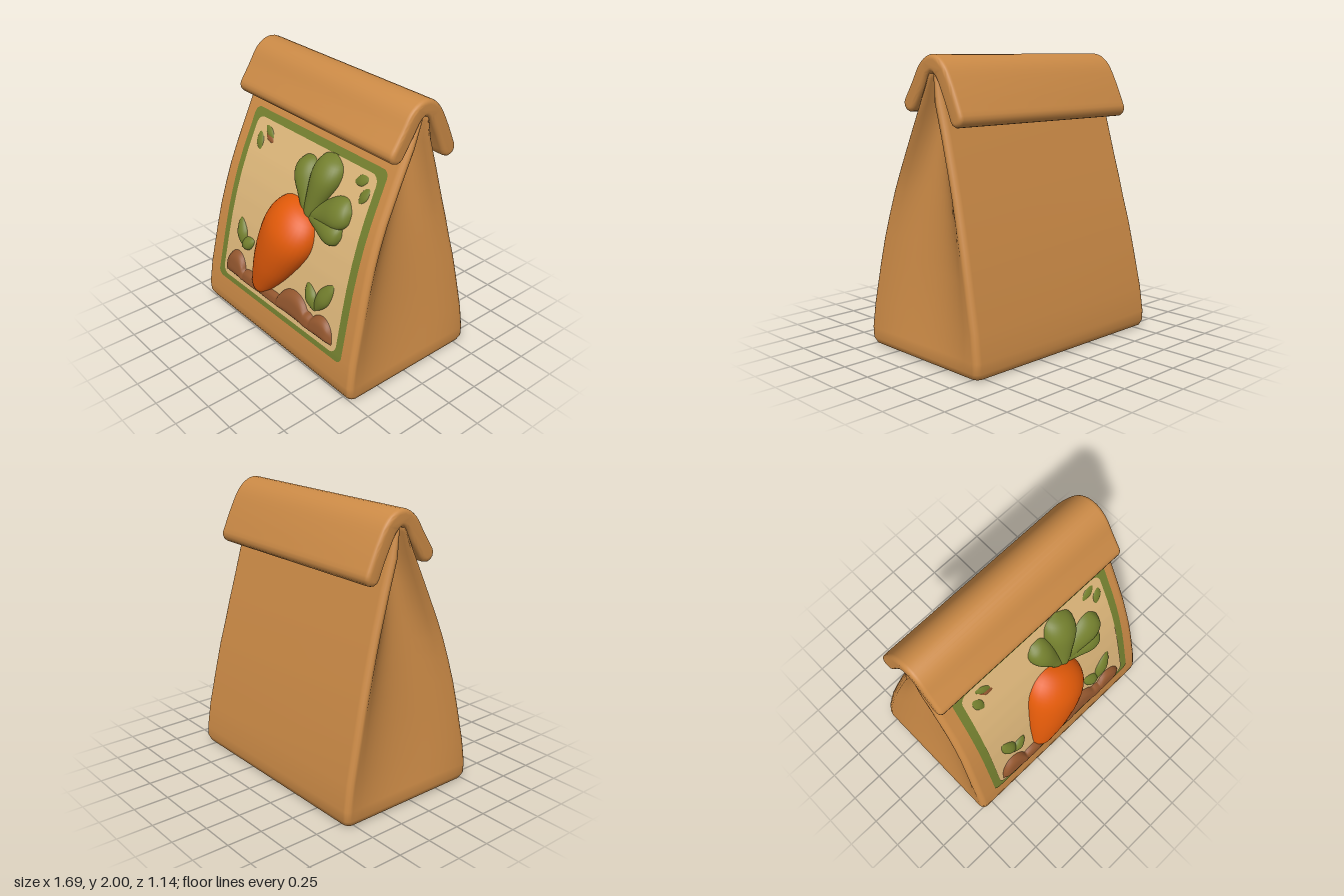
import * as THREE from 'three';
import { toCreasedNormals } from 'three/addons/utils/BufferGeometryUtils.js';

const material = (name, color) => {
  const m = new THREE.MeshStandardMaterial({ color });
  m.name = name;
  return m;
};

// Bag levels: [y, half width, front z, back z, gusset depth]
const LEVELS = [
  [0, 0.8, 0.47, -0.53, 0], [0.012, 0.828, 0.5, -0.56, 0], [0.05, 0.845, 0.52, -0.575, 0],
  [0.12, 0.845, 0.525, -0.575, 0.01], [0.3, 0.84, 0.5, -0.55, 0.05], [0.6, 0.83, 0.435, -0.485, 0.085],
  [0.78, 0.822, 0.393, -0.445, 0.1], [0.95, 0.812, 0.345, -0.4, 0.11], [1.1, 0.806, 0.295, -0.362, 0.12],
  [1.25, 0.8, 0.235, -0.32, 0.13], [1.5, 0.795, 0.12, -0.25, 0.145],
  [1.7, 0.792, 0.025, -0.19, 0.14], [1.85, 0.785, -0.05, -0.155, 0.09], [1.91, 0.78, -0.085, -0.135, 0.04],
];

// Front surface z at a given height
function frontZ(y) {
  let i = 1;
  while (i < LEVELS.length - 1 && LEVELS[i][0] < y) i++;
  const a = LEVELS[i - 1], b = LEVELS[i];
  return THREE.MathUtils.mapLinear(y, a[0], b[0], a[2], b[2]);
}

// Move each vertex by a rule
function reshape(geo, rule) {
  const p = geo.attributes.position;
  for (let i = 0; i < p.count; i++) p.setXYZ(i, ...rule(p.getX(i), p.getY(i), p.getZ(i)));
  geo.computeVertexNormals();
  return geo;
}

// Bag body: stacked rounded rings with folded-in sides
function bagGeometry() {
  const pos = [], idx = [];
  let n = 0;
  for (const [y, hw, zf, zb, depth] of LEVELS) {
    const r = Math.min(0.045, (zf - zb) / 4), side = [];
    for (let i = 0; i <= 4; i++) {
      const a = (i / 4) * Math.PI / 2;
      side.push([hw - r + r * Math.sin(a), zf - r + r * Math.cos(a)]);
    }
    for (let i = 1; i < 14; i++) {
      const s = i / 7 - 1;
      side.push([hw - depth * (1 - Math.abs(s) ** 2.2), THREE.MathUtils.lerp(zf - r, zb + r, i / 14)]);
    }
    for (let i = 0; i <= 4; i++) {
      const a = (i / 4) * Math.PI / 2;
      side.push([hw - r + r * Math.cos(a), zb + r - r * Math.sin(a)]);
    }
    const ring = [...side, ...side.map(([x, z]) => [-x, z]).reverse()];
    n = ring.length;
    ring.forEach(([x, z]) => pos.push(x, y, z));
  }
  const rows = LEVELS.length, top = LEVELS[rows - 1];
  pos.push(0, 0, -0.03, 0, top[0], (top[2] + top[3]) / 2);
  for (let i = 0; i < n; i++) {
    const j = (i + 1) % n;
    for (let k = 0; k < rows - 1; k++) {
      const a = k * n + i, b = k * n + j;
      idx.push(a, b, b + n, a, b + n, a + n);
    }
    idx.push(rows * n, j, i, rows * n + 1, (rows - 1) * n + i, (rows - 1) * n + j);
  }
  const geo = new THREE.BufferGeometry();
  geo.setAttribute('position', new THREE.Float32BufferAttribute(pos, 3));
  geo.setIndex(idx);
  geo.computeVertexNormals();
  return geo;
}

// Folded-over top: a thick bent strip extruded across the width
function foldGeometry() {
  const line = new THREE.SplineCurve([
    [0.115, 1.69], [0.04, 1.8], [-0.03, 1.905], [-0.11, 1.943], [-0.19, 1.895], [-0.265, 1.765], [-0.335, 1.61],
  ].map(([z, y]) => new THREE.Vector2(-z, y)));
  const bevel = 0.03, r = 0.057 - bevel, steps = 28, left = [], right = [];
  for (let i = 0; i <= steps; i++) {
    const p = line.getPoint(i / steps), t = line.getTangent(i / steps);
    const nrm = new THREE.Vector2(-t.y, t.x).multiplyScalar(r);
    left.push(p.clone().add(nrm));
    right.push(p.clone().sub(nrm));
  }
  // Rounded end between two sides of the strip
  const cap = (u, sign) => [1, 2, 3, 4, 5].map((k) => {
    const p = line.getPoint(u), t = line.getTangent(u).multiplyScalar(sign), a = (k / 6) * Math.PI;
    return new THREE.Vector2(
      p.x + r * (Math.cos(a) * -t.y + Math.sin(a) * t.x),
      p.y + r * (Math.cos(a) * t.x + Math.sin(a) * t.y));
  });
  const shape = new THREE.Shape([...left, ...cap(1, 1), ...right.reverse(), ...cap(0, -1)]);
  const depth = 1.595 - 2 * bevel;
  const geo = new THREE.ExtrudeGeometry(shape, {
    depth, bevelEnabled: true, bevelSize: bevel, bevelThickness: bevel, bevelSegments: 5,
  });
  geo.translate(0, 0, -depth / 2).rotateY(Math.PI / 2);
  return toCreasedNormals(geo, 0.9);
}

// Thin rounded panel lying on the bag front
function panelGeometry(cx, y0, y1, wBottom, wTop, r, lift) {
  return reshape(new THREE.PlaneGeometry(2, 2, 8, 60), (u, v) => {
    const s = Math.sin(v * Math.PI / 2);
    const y = THREE.MathUtils.mapLinear(s, -1, 1, y0, y1);
    const edge = Math.max(0, r - Math.min(y - y0, y1 - y));
    const hw = THREE.MathUtils.mapLinear(y, y0, y1, wBottom, wTop) - r + Math.sqrt(Math.max(0, r * r - edge * edge));
    return [cx + u * hw, y, frontZ(y) + lift];
  });
}

// Raised turned form lying on the bag front from one point to another
const PROFILES = {
  root: [[0, 0], [0.28, 0.015], [0.5, 0.15], [0.79, 0.4], [1, 0.7], [0.88, 0.87], [0.52, 0.97], [0, 1]],
  lobe: [[0, 0], [0.36, 0.1], [0.7, 0.4], [1, 0.72], [0.75, 0.92], [0, 1]],
  blade: [[0, 0], [0.6, 0.2], [1, 0.5], [0.65, 0.8], [0, 1]],
};
function reliefGeometry(profile, [x0, y0], [x1, y1], width, depth) {
  const pts = new THREE.SplineCurve(PROFILES[profile].map((p) => new THREE.Vector2(...p))).getPoints(28);
  pts.forEach((p) => { p.x = Math.max(p.x, 0.0001); });
  const dx = x1 - x0, dy = y1 - y0, len = Math.hypot(dx, dy);
  return reshape(new THREE.LatheGeometry(pts, 32, Math.PI), (u, t, w) => {
    const x = x0 + dx * t + (dy / len) * u * width;
    const y = y0 + dy * t - (dx / len) * u * width;
    return [x, y, frontZ(y) + Math.max(w * depth, -0.01)];
  });
}

// Soil mound: domed strip with a bumpy top edge, [centre, half width, height]
const BUMPS = [[-0.48, 0.125, 0.195], [-0.3, 0.13, 0.11], [0, 0.2, 0.09], [0.2, 0.18, 0.195], [0.36, 0.1, 0.12], [0.5, 0.125, 0.155]];
function soilGeometry() {
  return reshape(new THREE.PlaneGeometry(2, 2, 120, 12), (u, v) => {
    const x = 0.01 + u * 0.615;
    const h = Math.max(...BUMPS.map(([c, w, k]) => k * Math.sqrt(Math.max(0, 1 - ((x - c) / w) ** 2))));
    const y = 0.352 + h * (v + 1) / 2;
    const dome = (1 - v ** 4) * (1 - u ** 20);
    return [x, y, frontZ(y) + 0.012 + 0.04 * dome * Math.min(1, h / 0.12)];
  });
}

export function createModel() {
  const kraft = material('kraft paper', 0xcb8a46);
  const cream = material('cream', 0xdfb87b);
  const border = material('border green', 0x758130);
  const leaf = material('leaf green', 0x727e2d);
  const orange = material('carrot orange', 0xe05909);
  const brown = material('soil brown', 0x92562e);

  const model = new THREE.Group();
  model.name = 'paperBag';
  const add = (name, geo, mat) => {
    const mesh = new THREE.Mesh(geo, mat);
    mesh.name = name;
    model.add(mesh);
  };

  add('bagBody', bagGeometry(), kraft);
  add('foldedTop', foldGeometry(), kraft);
  add('labelBorder', panelGeometry(0.015, 0.262, 1.552, 0.712, 0.69, 0.05, 0.004), border);
  add('labelPanel', panelGeometry(0.015, 0.31, 1.503, 0.652, 0.63, 0.06, 0.009), cream);
  add('soil', soilGeometry(), brown);
  add('carrot', reliefGeometry('root', [-0.205, 0.385], [0.12, 1.125], 0.242, 0.185), orange);

  // Carrot greens: [base, tip, half width, depth]
  [
    [[0.15, 1.06], [-0.015, 1.43], 0.095, 0.09],
    [[0.15, 1.04], [0.25, 1.505], 0.128, 0.115],
    [[0.13, 1.09], [0.535, 1.235], 0.105, 0.085],
    [[0.13, 1.1], [0.51, 1.06], 0.09, 0.075],
  ].forEach(([a, b, w, d], i) => add(`carrotLeaf${i + 1}`, reliefGeometry('lobe', a, b, w, d), leaf));

  // Sprouts above the soil and small corner leaves
  [
    [[-0.42, 0.58], [-0.52, 0.81], 0.055, 0.045],
    [[-0.47, 0.59], [-0.32, 0.69], 0.05, 0.045],
    [[0.39, 0.49], [0.55, 0.76], 0.062, 0.045],
    [[0.42, 0.49], [0.29, 0.67], 0.055, 0.045],
    [[-0.52, 1.47], [-0.38, 1.395], 0.03, 0.022],
    [[-0.49, 1.28], [-0.555, 1.425], 0.04, 0.022],
    [[0.45, 1.405], [0.59, 1.465], 0.038, 0.022],
    [[0.55, 1.29], [0.615, 1.425], 0.038, 0.022],
  ].forEach(([a, b, w, d], i) => add(`${i < 4 ? 'sprout' : 'cornerLeaf'}${i + 1}`, reliefGeometry('blade', a, b, w, d), leaf));
  add('cornerLeafShade', reliefGeometry('blade', [-0.5, 1.43], [-0.37, 1.372], 0.028, 0.02), brown);

  return model;
}
